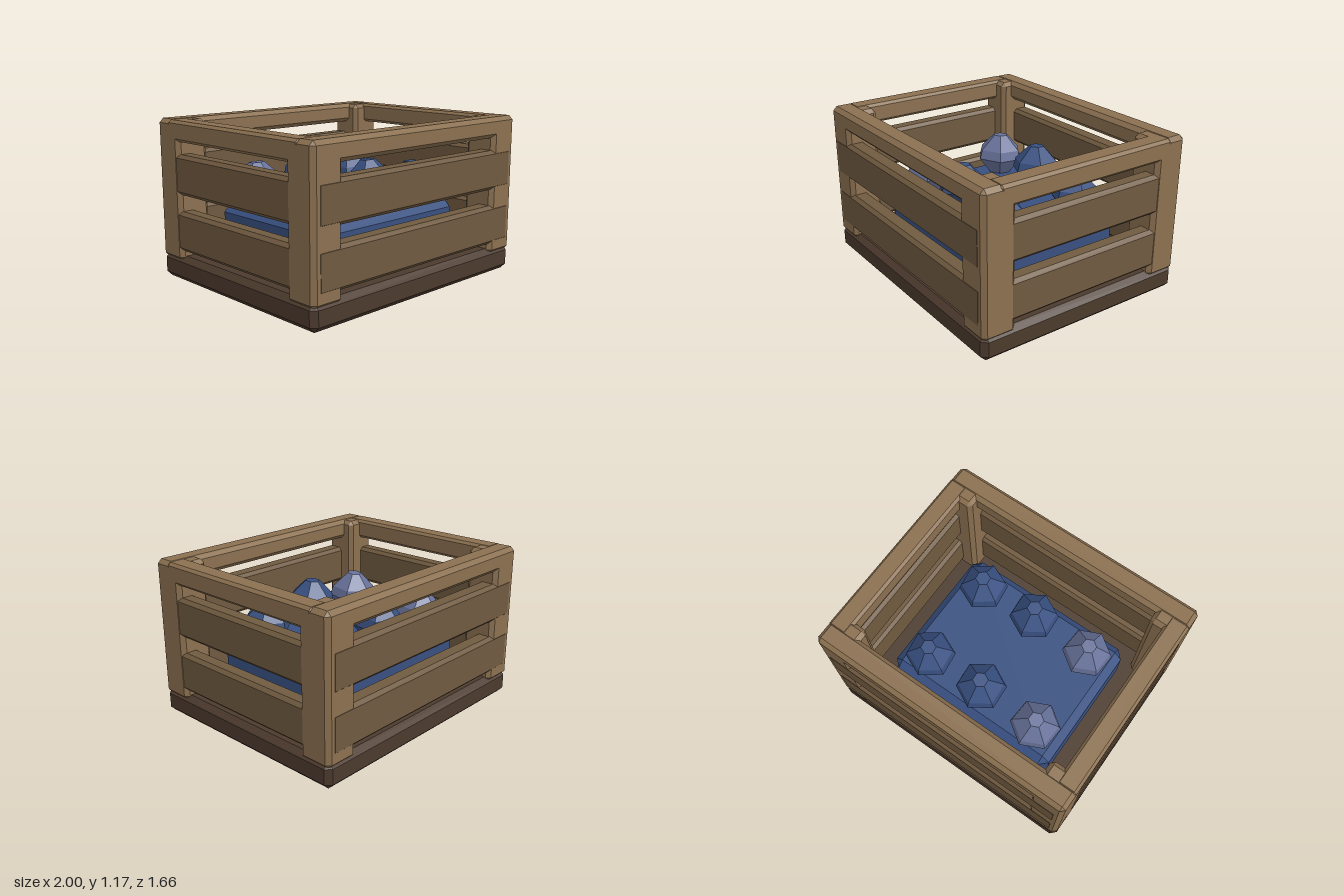
import * as THREE from 'three';
import { ConvexGeometry } from 'three/addons/geometries/ConvexGeometry.js';

const material = (color) => new THREE.MeshStandardMaterial({ color, flatShading: true });
const frameWood = material(0x8b7050);
const slatWood = material(0x705a40);
const baseWood = material(0x4c3a2d);
const blue = material(0x385081);
const paleBlue = material(0x68729a);

// Box with chamfered edges, given by its lower and upper corners
function chamferBox(name, mat, min, max, c) {
  const half = min.map((m, i) => (max[i] - m) / 2);
  const points = [];
  for (const sx of [-1, 1]) for (const sy of [-1, 1]) for (const sz of [-1, 1]) {
    for (let full = 0; full < 3; full++) {
      const [x, y, z] = half.map((h, i) => (i === full ? h : h - c));
      points.push(new THREE.Vector3(sx * x, sy * y, sz * z));
    }
  }
  const mesh = new THREE.Mesh(new ConvexGeometry(points), mat);
  mesh.position.set(...min.map((m, i) => (m + max[i]) / 2));
  mesh.name = name;
  return mesh;
}

export function createModel() {
  const model = new THREE.Group();
  model.name = 'crate';

  // Solid base
  model.add(chamferBox('base', baseWood, [-1, 0, -0.83], [1, 0.19, 0.83], 0.04));

  // Corner posts
  for (const sx of [-1, 1]) for (const sz of [-1, 1]) {
    const x = sx * 0.875, z = sz * 0.705;
    model.add(chamferBox('cornerPost', frameWood,
      [x - 0.125, 0.15, z - 0.125], [x + 0.125, 1.165, z + 0.125], 0.03));
  }

  // Top rails and the two rows of slats on each side
  for (const s of [-1, 1]) {
    const side = s > 0 ? 'front' : 'back';
    const end = s > 0 ? 'left' : 'right';
    const z = s * 0.745, x = s * 0.925;
    model.add(chamferBox(side + 'Rail', frameWood,
      [-1, 1.02, z - 0.085], [1, 1.17, z + 0.085], 0.03));
    model.add(chamferBox(end + 'Rail', frameWood,
      [x - 0.075, 1.02, -0.7], [x + 0.075, 1.168, 0.7], 0.02));
    for (const y of [0.23, 0.64]) {
      const zs = s * 0.762, xs = s * 0.932;
      model.add(chamferBox(side + 'Slat', slatWood,
        [-0.965, y, zs - 0.07], [0.965, y + 0.29, zs + 0.07], 0.025));
      model.add(chamferBox(end + 'Slat', slatWood,
        [xs - 0.065, y, -0.75], [xs + 0.065, y + 0.29, 0.75], 0.025));
    }
  }

  // Filling block inside the crate
  model.add(chamferBox('filling', blue, [-0.69, 0.185, -0.54], [0.69, 0.55, 0.54], 0.06));

  // Six-sided fruits in two rows
  const profile = [[0, 0], [0.085, 0], [0.182, 0.12], [0.165, 0.19], [0.055, 0.3], [0, 0.3]]
    .map(([r, y]) => new THREE.Vector2(r, y));
  const fruitGeometry = new THREE.LatheGeometry(profile, 6);
  const columns = [
    { x: -0.47, y: 0.55, mat: paleBlue, turn: -0.08 },
    { x: 0, y: 0.595, mat: blue, turn: 0.06 },
    { x: 0.46, y: 0.53, mat: blue, turn: 0.12 },
  ];
  for (const { x, y, mat, turn } of columns) {
    for (const z of [-0.34, 0.32]) {
      const fruit = new THREE.Mesh(fruitGeometry, mat);
      fruit.name = 'fruit';
      fruit.position.set(x, y, z);
      fruit.rotation.set(-0.06, turn, 0.04);
      model.add(fruit);
    }
  }
  return model;
}
